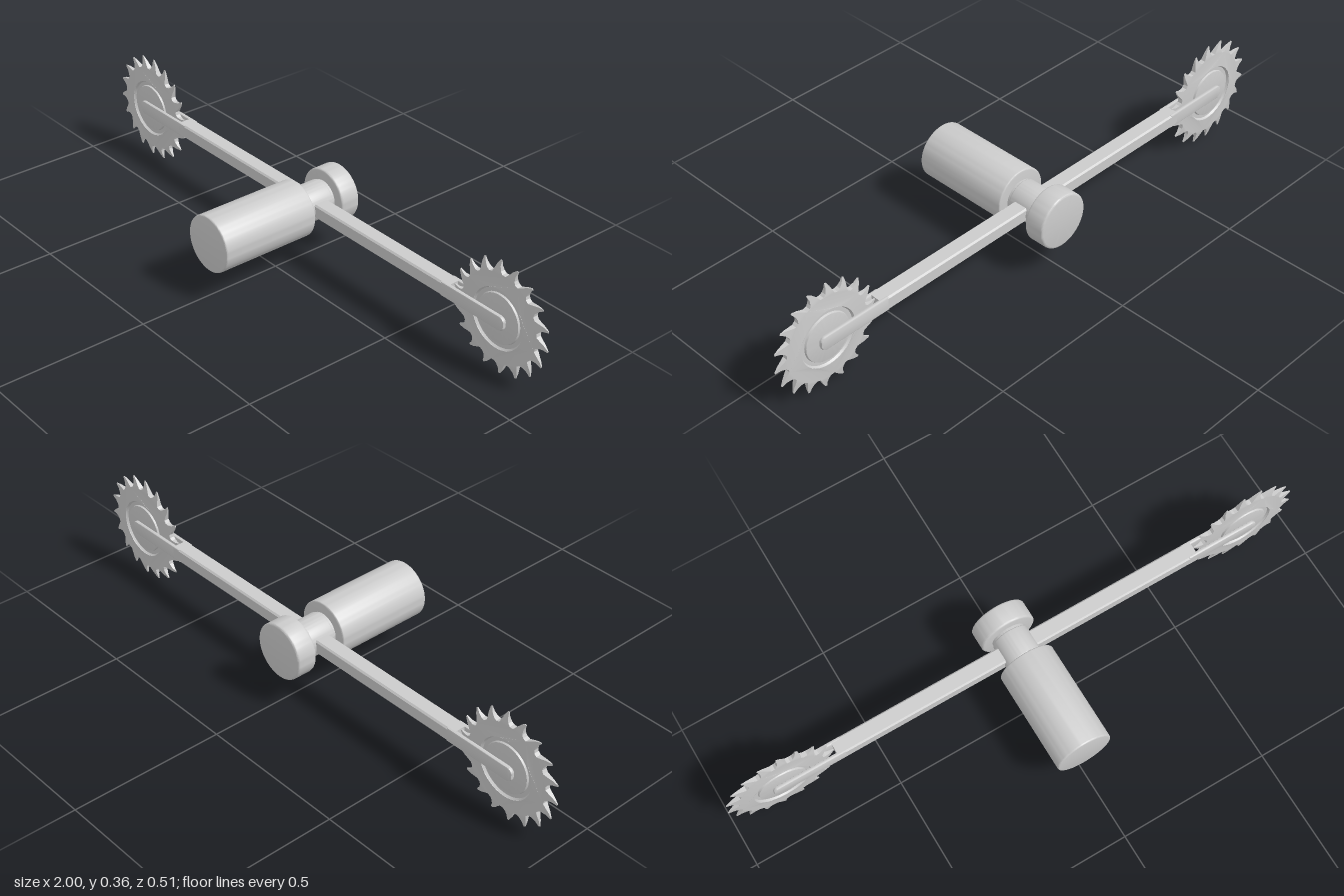
import * as THREE from 'three';
import { toCreasedNormals } from 'three/addons/utils/BufferGeometryUtils.js';

const CY = 0.184, ARM_Z = -0.134, BLADE_X = 0.817;
const material = new THREE.MeshStandardMaterial({ color: 0xcccccc, side: THREE.DoubleSide });

function part(name, geometry, crease = 0.5) {
  const mesh = new THREE.Mesh(toCreasedNormals(geometry, crease), material);
  mesh.name = name;
  return mesh;
}

// Turned solid with its axis along z; points are [radius, z]
function turned(points, segments = 64) {
  const g = new THREE.LatheGeometry(points.map(([r, z]) => new THREE.Vector2(r, z)), segments);
  return g.rotateX(Math.PI / 2);
}

// Cylinder with softened rims between z0 and z1
function drum(name, r, z0, z1, bevel) {
  const pts = [[0, z0]];
  for (let i = 0; i <= 4; i++) {
    const a = (i / 4) * Math.PI / 2;
    pts.push([r - bevel + bevel * Math.sin(a), z0 + bevel - bevel * Math.cos(a)]);
  }
  for (let i = 0; i <= 4; i++) {
    const a = (i / 4) * Math.PI / 2;
    pts.push([r - bevel + bevel * Math.cos(a), z1 - bevel + bevel * Math.sin(a)]);
  }
  pts.push([0, z1]);
  const mesh = part(name, turned(pts));
  mesh.position.y = CY;
  return mesh;
}

// Solid middle of the arm: chamfered section swept along x
function armCore() {
  const w = 0.027, h = 0.023, c = 0.005;
  const s = new THREE.Shape([
    [w, h - c], [w - c, h], [c - w, h], [-w, h - c],
    [-w, c - h], [c - w, -h], [w - c, -h], [w, c - h],
  ].map(([x, y]) => new THREE.Vector2(x, y)));
  const g = new THREE.ExtrudeGeometry(s, { depth: 1.27, bevelEnabled: false });
  g.translate(0, 0, -0.635).rotateY(Math.PI / 2);
  return part('armCore', g, 0.3);
}

// One fork prong with a rounded outer end
function prong(side) {
  const b = 0.004, h = 0.023 - b, x0 = 0.61, x1 = 0.853 - b, r = 0.014;
  const s = new THREE.Shape();
  s.moveTo(x0, -h);
  s.lineTo(x1 - r, -h);
  s.absarc(x1 - r, -h + r, r, -Math.PI / 2, 0, false);
  s.absarc(x1 - r, h - r, r, 0, Math.PI / 2, false);
  s.lineTo(x0, h);
  const g = new THREE.ExtrudeGeometry(s, {
    depth: 0.013 - 2 * b, bevelEnabled: true, bevelSize: b, bevelThickness: b, bevelSegments: 2, curveSegments: 6,
  });
  g.translate(0, 0, b + (side > 0 ? 0.014 : -0.027));
  return part(side > 0 ? 'frontProng' : 'rearProng', g);
}

// Toothed rim: raked teeth around a ring, thinned toward the tips
function toothedRim() {
  const teeth = 18, step = (Math.PI * 2) / teeth, shape = new THREE.Shape();
  const tooth = [[0, 0.143], [0.22, 0.143], [0.36, 0.15], [0.44, 0.164], [0.42, 0.181],
    [0.5, 0.182], [0.68, 0.168], [0.86, 0.152]];
  for (let i = 0; i < teeth; i++) {
    tooth.forEach(([t, r], j) => {
      const a = (i + t) * step;
      const x = r * Math.cos(a), y = r * Math.sin(a);
      if (i + j === 0) shape.moveTo(x, y); else shape.lineTo(x, y);
    });
  }
  shape.closePath();
  const hole = new THREE.Path();
  hole.absarc(0, 0, 0.096, 0, Math.PI * 2, true);
  shape.holes.push(hole);
  const g = new THREE.ExtrudeGeometry(shape, { depth: 1, bevelEnabled: false, curveSegments: 36 });
  const p = g.attributes.position;
  for (let i = 0; i < p.count; i++) {
    const r = Math.hypot(p.getX(i), p.getY(i));
    const half = r < 0.144
      ? THREE.MathUtils.mapLinear(r, 0.096, 0.144, 0.0125, 0.0085)
      : THREE.MathUtils.mapLinear(r, 0.144, 0.182, 0.0085, 0.001);
    p.setZ(i, p.getZ(i) > 0.5 ? half : -half);
  }
  return part('toothedRim', g, 0.45);
}

// Blade centre with a circular groove on both faces
function bladeCentre() {
  const face = [[0, 0.012], [0.074, 0.012], [0.078, 0.011], [0.08, 0.005], [0.092, 0.005], [0.097, 0.0124]];
  const pts = [...face.map(([r, z]) => [r, -z]), ...face.slice().reverse()];
  return part('bladeCentre', turned(pts, 48));
}

export function createModel() {
  const model = new THREE.Group();
  model.name = 'twinBladeTool';

  // Handle, collars, hub and rear cap on one axis
  model.add(
    drum('handle', 0.092, -0.082, 0.257, 0.005),
    drum('axle', 0.057, -0.2, -0.07, 0.003),
    drum('hub', 0.0605, -0.18, -0.089, 0.004),
    drum('rearCap', 0.092, -0.257, -0.188, 0.007),
  );

  // Cross arm
  const core = armCore();
  core.position.set(0, CY + 0.002, ARM_Z);
  model.add(core);

  // Forked end and blade, turned half round for the other side
  for (const side of [1, -1]) {
    const end = new THREE.Group();
    end.name = side > 0 ? 'leftArmEnd' : 'rightArmEnd';
    const blade = new THREE.Group();
    blade.name = 'blade';
    blade.add(toothedRim(), bladeCentre());
    blade.position.x = BLADE_X;
    blade.rotation.z = 0.08;
    end.add(prong(1), prong(-1), blade);
    end.position.set(0, CY + 0.002, ARM_Z);
    end.rotation.y = side > 0 ? 0 : Math.PI;
    model.add(end);
  }
  return model;
}
